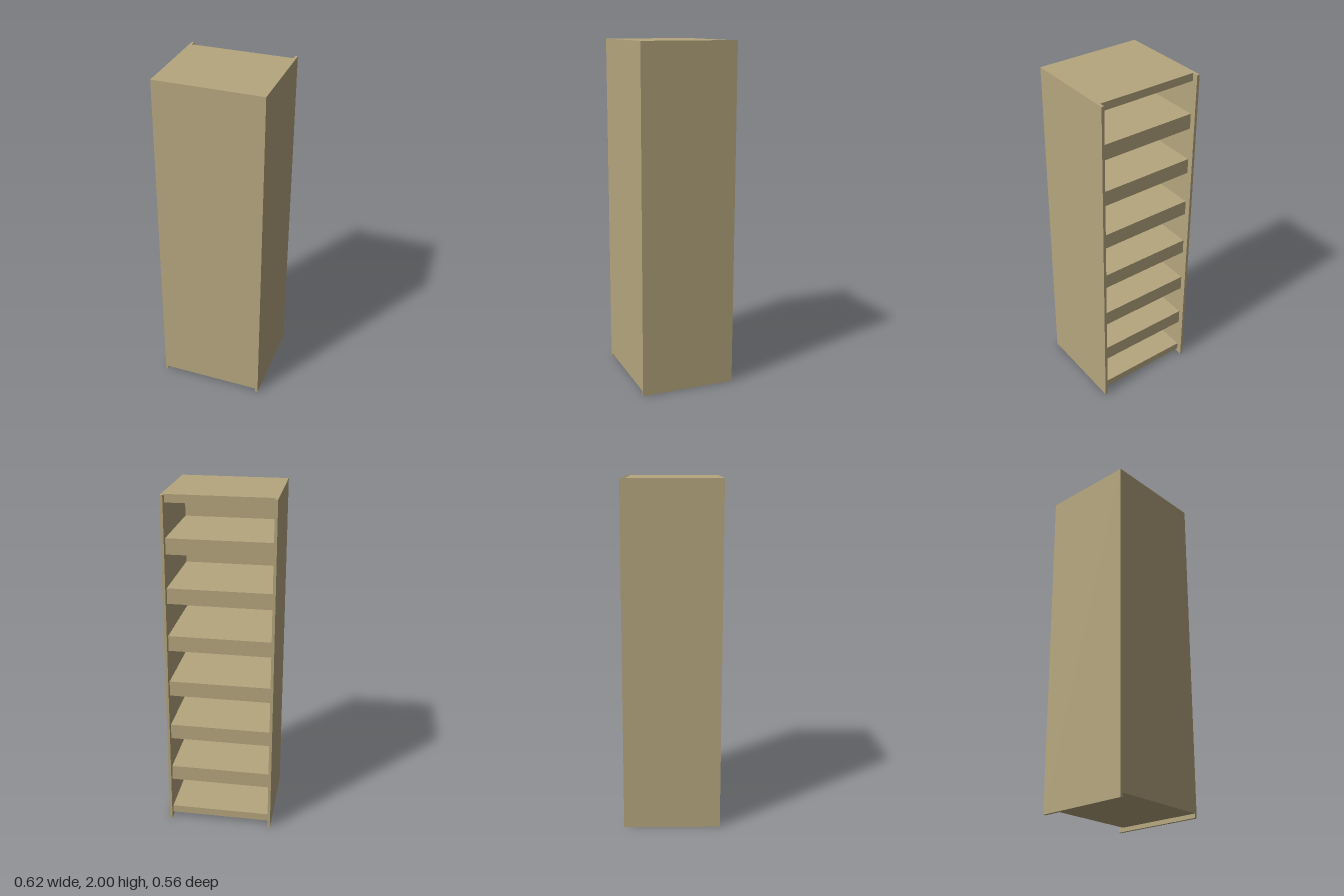
import * as THREE from 'three';

export function createModel() {
  const group = new THREE.Group();
  const wood = new THREE.MeshStandardMaterial({ color: 0xb5a67e });
  wood.name = 'wood';

  const W = 0.62, D = 0.56, H = 2;
  const T = 0.016;          // panel thickness
  const base = 0.025;       // gap under the carcass
  const backZ = -0.247;     // rear edge of the shelves
  const frontZ = D / 2;
  const bays = 7;
  const board = 0.045;      // half of a shelf
  const pitch = (H - base) / bays;

  // Box given by its lower and upper corners
  function box(name, [x0, y0, z0], [x1, y1, z1]) {
    const mesh = new THREE.Mesh(new THREE.BoxGeometry(x1 - x0, y1 - y0, z1 - z0), wood);
    mesh.position.set((x0 + x1) / 2, (y0 + y1) / 2, (z0 + z1) / 2);
    mesh.name = name;
    group.add(mesh);
  }

  const inner = W / 2 - T;

  // Full-depth side panels that reach the floor
  box('rightSidePanel', [-W / 2, 0, -D / 2], [-inner, H, frontZ]);
  box('leftSidePanel', [inner, 0, -D / 2], [W / 2, H, frontZ]);

  // Closed front
  box('frontPanel', [-inner, base, frontZ - T], [inner, H, frontZ]);

  // Bottom, shelves and top; the end boards are half as thick
  for (let i = 0; i <= bays; i++) {
    const y = base + i * pitch;
    const name = i === 0 ? 'bottomBoard' : i === bays ? 'topBoard' : 'shelf' + i;
    const low = i === 0 ? y : y - board;
    const high = i === bays ? y : y + board;
    box(name, [-inner, low, backZ], [inner, high, frontZ - T]);
  }

  return group;
}
